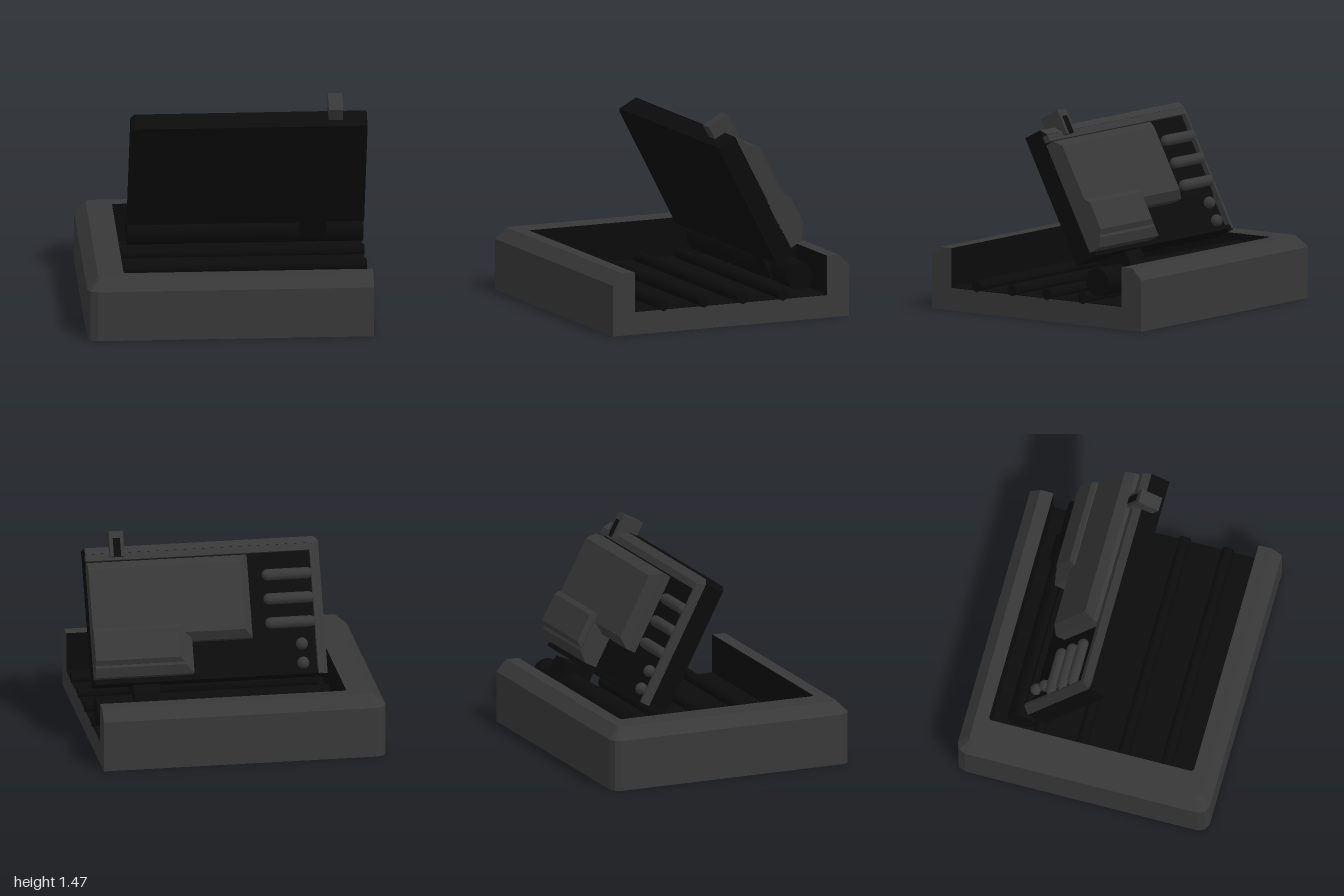
import * as THREE from 'three';

const grey = new THREE.MeshStandardMaterial({ color: 0x383838 });
grey.name = 'casing grey';
const black = new THREE.MeshStandardMaterial({ color: 0x0b0b0b });
black.name = 'matte black';

function add(parent, name, geometry, material, x = 0, y = 0, z = 0) {
  const mesh = new THREE.Mesh(geometry, material);
  mesh.name = name;
  mesh.position.set(x, y, z);
  parent.add(mesh);
  return mesh;
}

// Box given by its two extreme corners
function block(parent, name, material, [x0, y0, z0], [x1, y1, z1]) {
  return add(parent, name, new THREE.BoxGeometry(x1 - x0, y1 - y0, z1 - z0), material,
    (x0 + x1) / 2, (y0 + y1) / 2, (z0 + z1) / 2);
}

// Flat-faced skin between successive loops of points
function loft(loops, closed = false, cap = false) {
  const out = [];
  const tri = (a, b, c) => out.push(...a, ...b, ...c);
  for (let k = 0; k + 1 < loops.length; k++) {
    const lo = loops[k], hi = loops[k + 1], n = lo.length;
    for (let i = 0; i < (closed ? n : n - 1); i++) {
      const j = (i + 1) % n;
      tri(lo[i], lo[j], hi[j]);
      tri(lo[i], hi[j], hi[i]);
    }
  }
  if (cap) {
    const top = loops[loops.length - 1];
    for (let i = 1; i + 1 < top.length; i++) tri(top[0], top[i], top[i + 1]);
  }
  const g = new THREE.BufferGeometry();
  g.setAttribute('position', new THREE.Float32BufferAttribute(out, 3));
  g.computeVertexNormals();
  return g;
}

// Tray outline, open at x = 1, with a cut corner of size c
function trayLoop(x, z, y, c) {
  const half = [[1, z], [x + c, z], [x + c * 0.3, z - c * 0.3], [x, z - c]];
  return [...half.map(([a, b]) => [a, y, -b]), ...half.reverse().map(([a, b]) => [a, y, b])];
}

function shapeOf(points) {
  return new THREE.Shape(points.map(p => new THREE.Vector2(...p)));
}

// Bevelled plate on the lid's back; n values are depths behind the screen
function plate(parent, name, x, top, bottom, n0, n1, n2, inset) {
  const ring = (n, i) => [[x + i, bottom + i, -n], [x + i, top - i, -n], [1, top - i, -n], [1, bottom + i, -n]];
  add(parent, name, loft([ring(n0, 0), ring(n1, 0), ring(n2, inset)], true, true), grey);
}

function createTray() {
  const tray = new THREE.Group();
  tray.name = 'tray';
  add(tray, 'trayShell', loft([
    trayLoop(-1, 0.91, 0, 0.07), trayLoop(-1, 0.91, 0.36, 0.07),
    trayLoop(-0.92, 0.835, 0.44, 0.03), trayLoop(-0.74, 0.74, 0.44, 0.02),
  ]), grey);
  add(tray, 'trayLining', loft([trayLoop(-0.74, 0.74, 0.44, 0.02), trayLoop(-0.74, 0.74, 0.16, 0.02)]), black);

  // Cut end, facing +x
  const right = [[0.91, 0], [0.91, 0.36], [0.835, 0.44], [0.74, 0.44], [0.74, 0.16]];
  const left = right.map(([a, b]) => [-a, b]).reverse();
  add(tray, 'trayEnd', new THREE.ShapeGeometry(shapeOf([...right, ...left])).rotateY(Math.PI / 2), grey, 1);

  block(tray, 'trayFloor', black, [-0.74, 0.157, -0.74], [0.999, 0.165, 0.74]);
  const under = trayLoop(-1, 0.91, 0, 0.07).map(([x, , z]) => [x, z]);
  add(tray, 'trayUnderside', new THREE.ShapeGeometry(shapeOf(under)).rotateX(Math.PI / 2), black);

  // Rounded floor ribs
  for (const z of [0.52, 0.21, -0.09, -0.4]) {
    const rib = new THREE.CylinderGeometry(0.042, 0.042, 1.692, 8).rotateX(0).rotateZ(Math.PI / 2);
    add(tray, 'floorRib', rib.toNonIndexed(), black, 0.157, 0.19, z);
  }
  return tray;
}

function createHinge() {
  const hinge = new THREE.Group();
  hinge.name = 'hinge';
  for (const [x0, x1] of [[-0.65, 0.55], [0.74, 1]]) {
    add(hinge, 'hingeBarrel', new THREE.CylinderGeometry(0.1, 0.1, x1 - x0, 16).rotateZ(Math.PI / 2),
      black, (x0 + x1) / 2, 0.315, -0.53);
  }
  // Arm profile drawn as (-z, y)
  const arm = shapeOf([[0.36, 0.42], [0.43, 0.27], [0.53, 0.21], [0.63, 0.26], [0.65, 0.35], [0.6, 0.46], [0.57, 0.505], [0.53, 0.49]]);
  const g = new THREE.ExtrudeGeometry(arm, { depth: 0.18, bevelEnabled: false }).rotateY(Math.PI / 2);
  add(hinge, 'hingeArm', g, black, 0.555);
  return hinge;
}

// Lid frame: origin on the screen's top edge, y down the screen is negative, -z is its back
function createLid() {
  const lid = new THREE.Group();
  lid.name = 'lid';
  lid.position.set(0, 1.274, 0.098);
  lid.rotation.x = 0.482;

  const outline = shapeOf([[-0.65, -0.97], [1, -0.97], [1, 0], [-0.62, 0], [-0.65, -0.03]]);
  add(lid, 'screenSlab', new THREE.ExtrudeGeometry(outline, { depth: 0.146, bevelEnabled: false }), black, 0, 0, -0.146);

  // Bevelled rim around the back
  const rim = (i, c, n) => [[-0.65 + i, -0.97, -n], [-0.65 + i, -i - c, -n], [-0.65 + i + c, -i, -n], [1, -i, -n]];
  add(lid, 'rimBevel', loft([rim(0, 0.03, 0.146), rim(0.05, 0.01, 0.19)]), grey);
  block(lid, 'rimTop', grey, [-0.595, -0.1, -0.19], [1, -0.051, -0.14]);
  block(lid, 'rimSide', grey, [-0.6, -0.97, -0.19], [-0.58, -0.06, -0.14]);
  block(lid, 'rimBottom', black, [-0.58, -0.97, -0.19], [1, -0.94, -0.14]);

  // Stepped back panels
  plate(lid, 'backPanel', -0.13, -0.114, -0.7, 0.14, 0.217, 0.275, 0.055);
  plate(lid, 'lowerPanel', 0.3, -0.58, -0.93, 0.14, 0.235, 0.28, 0.06);
  plate(lid, 'raisedPanel', 0.37, -0.585, -0.85, 0.25, 0.285, 0.312, 0.03);

  // Rounded bars and knobs
  block(lid, 'barBacking', black, [-0.58, -0.7, -0.155], [-0.22, -0.1, -0.14]);
  for (const y of [-0.26, -0.43, -0.6]) {
    add(lid, 'bar', new THREE.CapsuleGeometry(0.04, 0.28, 4, 10).rotateZ(Math.PI / 2), grey, -0.41, y, -0.18);
  }
  for (const y of [-0.755, -0.89]) {
    add(lid, 'knob', new THREE.SphereGeometry(0.043, 10, 8), grey, -0.48, y, -0.17);
  }

  // Catch on the top edge
  block(lid, 'catch', grey, [0.73, -0.08, -0.225], [0.83, 0.1, -0.06]);
  block(lid, 'catchGroove', black, [0.755, -0.08, -0.23], [0.805, 0.05, -0.224]);
  return lid;
}

export function createModel() {
  const model = new THREE.Group();
  model.name = 'foldingConsole';
  model.add(createTray(), createHinge(), createLid());
  return model;
}
